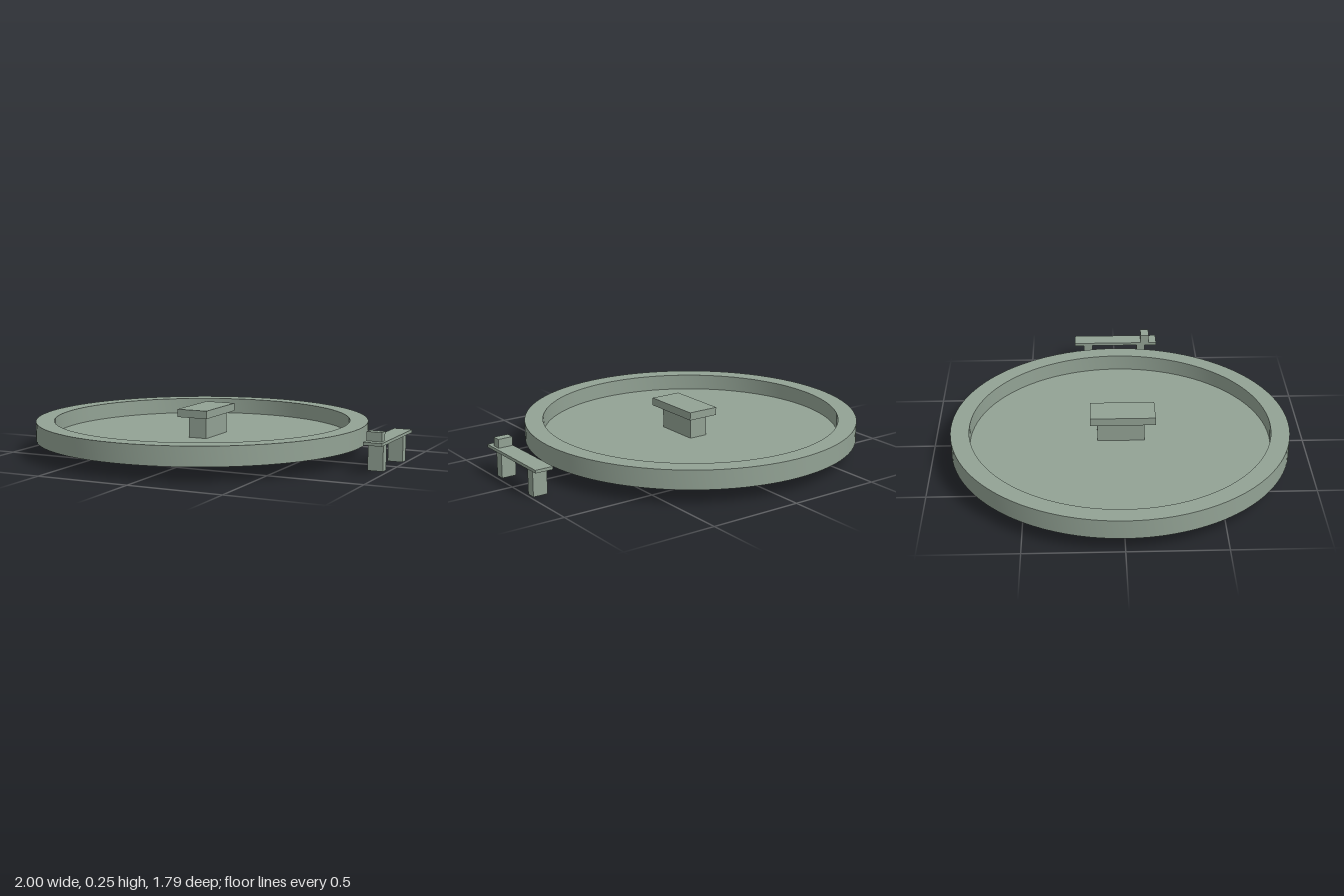
import * as THREE from 'three';
import { toCreasedNormals } from 'three/addons/utils/BufferGeometryUtils.js';

export function createModel() {
  const model = new THREE.Group();
  const stone = new THREE.MeshStandardMaterial({ color: 0x92a294 });
  stone.name = 'greyGreenStone';

  // Box given by its extents on each axis
  const box = (parent, name, [x0, x1], [y0, y1], [z0, z1]) => {
    const mesh = new THREE.Mesh(new THREE.BoxGeometry(x1 - x0, y1 - y0, z1 - z0), stone);
    mesh.position.set((x0 + x1) / 2, (y0 + y1) / 2, (z0 + z1) / 2);
    mesh.name = name;
    parent.add(mesh);
  };

  // Round basin: slightly sagging underside, upright rim, flat floor
  const profile = [
    [0, 0.068], [0.3, 0.074], [0.6, 0.077], [0.895, 0.077],
    [0.895, 0.178], [0.797, 0.178], [0.797, 0.092], [0, 0.09],
  ].map(([r, y]) => new THREE.Vector2(r, y));
  const basin = new THREE.Mesh(
    toCreasedNormals(new THREE.LatheGeometry(profile, 96), 0.6), stone);
  basin.name = 'basin';
  basin.position.x = -0.105;
  model.add(basin);

  // Table in the middle, its foot passing through the floor
  const table = new THREE.Group();
  table.name = 'centreTable';
  box(table, 'tablePedestal', [-0.12, -0.017], [0.046, 0.207], [-0.12, 0.13]);
  box(table, 'tableTop', [-0.16, 0.013], [0.205, 0.247], [-0.158, 0.187]);
  model.add(table);

  // Bench beside the basin
  const bench = new THREE.Group();
  bench.name = 'bench';
  box(bench, 'benchSeat', [0.902, 1], [0.142, 0.158], [-0.24, 0.247]);
  box(bench, 'benchFrontLeg', [0.905, 0.985], [0.005, 0.143], [0.13, 0.18]);
  box(bench, 'benchBackLeg', [0.905, 0.985], [0, 0.143], [-0.185, -0.135]);
  box(bench, 'benchBlock', [0.905, 0.985], [0.157, 0.205], [0.155, 0.203]);
  model.add(bench);

  return model;
}
